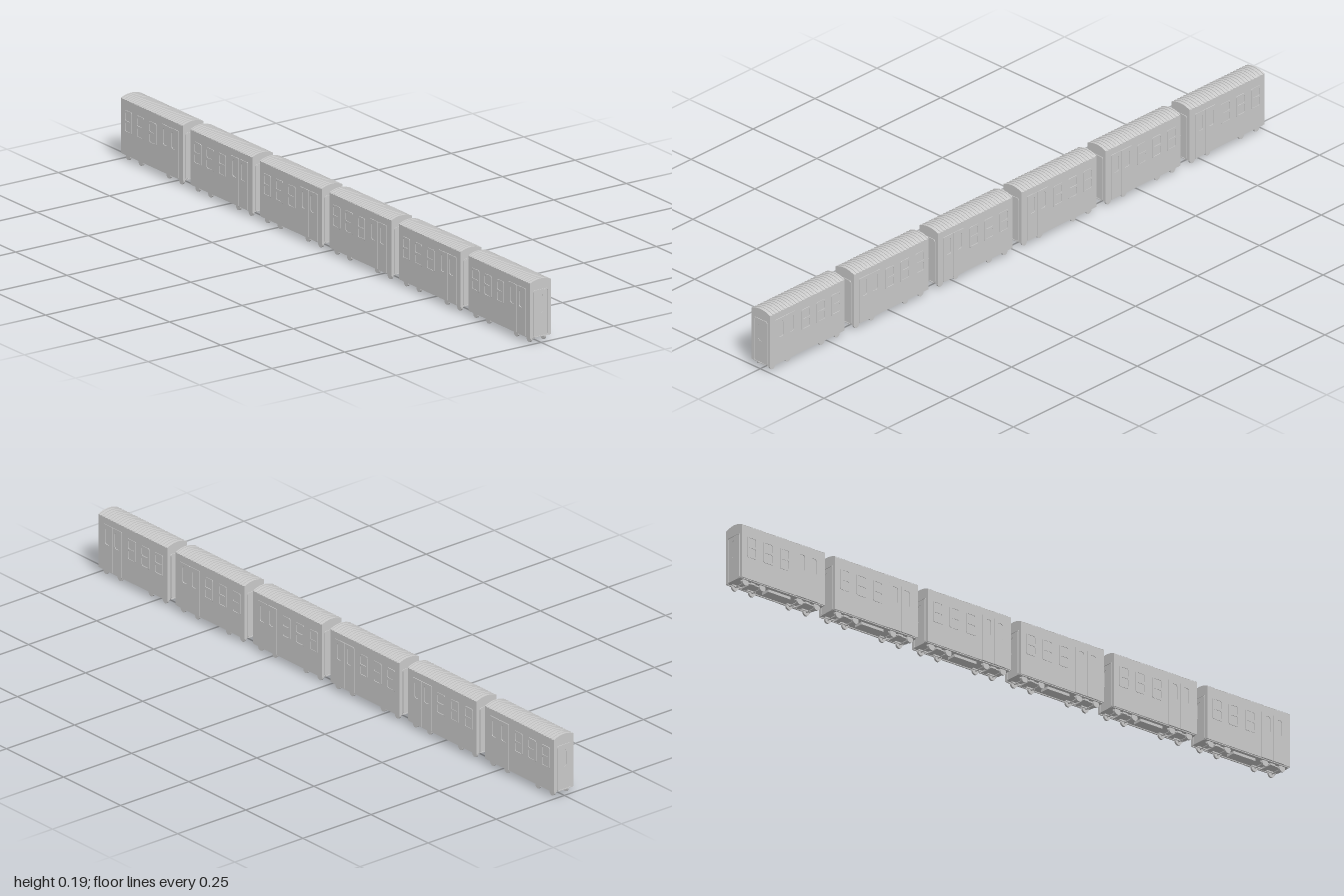
import * as THREE from 'three';

const CARS = 6, LEN = 0.306, PITCH = 0.3388, HALF = 0.036;
const material = new THREE.MeshStandardMaterial({ color: 0xcccccc, flatShading: true });

function add(parent, name, geometry, x = 0, y = 0, z = 0, ry = 0) {
  const mesh = new THREE.Mesh(geometry, material);
  mesh.name = name;
  mesh.position.set(x, y, z);
  mesh.rotation.y = ry;
  parent.add(mesh);
  return mesh;
}

// Rounded rectangle centred on (cx, cy)
function rounded(Type, w, h, r, cx = 0, cy = 0) {
  const s = new Type(), x = w / 2 - r, y = h / 2 - r;
  s.absarc(cx + x, cy + y, r, 0, Math.PI / 2);
  s.absarc(cx - x, cy + y, r, Math.PI / 2, Math.PI);
  s.absarc(cx - x, cy - y, r, Math.PI, Math.PI * 1.5);
  s.absarc(cx + x, cy - y, r, Math.PI * 1.5, Math.PI * 2);
  s.closePath();
  return s;
}

// Thin plate with rounded openings, each [w, h, r, cx, cy]
function plate(w, h, r, depth, holes = []) {
  const s = rounded(THREE.Shape, w, h, r);
  holes.forEach(o => s.holes.push(rounded(THREE.Path, ...o)));
  return new THREE.ExtrudeGeometry(s, { depth, bevelEnabled: false, curveSegments: 4 });
}

// Points along the shallow arched roof, from one eave to the other
function roofArc(lift, n = 12) {
  return Array.from({ length: n + 1 }, (_, i) => {
    const t = 1 - 2 * i / n;
    return new THREE.Vector2(t * HALF, 0.18 + 0.0085 * (1 - t * t) + lift);
  });
}

// Cross-section extruded along the length of the car
function along(points, length) {
  return new THREE.ExtrudeGeometry(new THREE.Shape(points), { depth: length, bevelEnabled: false })
    .translate(0, 0, -length / 2).rotateY(Math.PI / 2);
}

const V = (x, y) => new THREE.Vector2(x, y);
const geo = {
  body: along([V(-HALF, 0.018), V(HALF, 0.018), ...roofArc(0)], LEN - 0.004),
  rib: along([...roofArc(-0.002).reverse(), ...roofArc(0.0015)], 0.005),
  window: plate(0.036, 0.066, 0.005, 0.0015,
    [[0.028, 0.026, 0.004, 0, 0.0155], [0.028, 0.026, 0.004, 0, -0.0155]]),
  doorLeaf: plate(0.041, 0.142, 0.002, 0.0018, [[0.02, 0.05, 0.006, 0, 0.036]]),
  endFrame: plate(0.052, 0.14, 0.006, 0.002, [[0.047, 0.135, 0.004, 0, 0]]),
  endDoor: plate(0.044, 0.134, 0.004, 0.001, [[0.016, 0.054, 0.0079, 0, 0.027]]),
  wheel: new THREE.CylinderGeometry(0.0105, 0.0105, 0.006, 16).rotateX(Math.PI / 2),
  axle: new THREE.CylinderGeometry(0.002, 0.002, 0.044, 8).rotateX(Math.PI / 2),
  sideBar: new THREE.BoxGeometry(0.085, 0.004, 0.003),
  bolster: new THREE.BoxGeometry(0.016, 0.006, 0.044),
  sill: new THREE.BoxGeometry(LEN - 0.008, 0.004, 0.004),
  equipment: new THREE.BoxGeometry(0.08, 0.009, 0.029),
};

function createSide(sign) {
  const side = new THREE.Group();
  side.name = sign > 0 ? 'frontSide' : 'backSide';
  const ry = sign > 0 ? 0 : Math.PI, z = sign * HALF;
  for (const x of [-0.115, -0.055, 0.005]) add(side, 'windowFrame', geo.window, x, 0.118, z, ry);
  for (const x of [0.067, 0.109]) add(side, 'doorLeaf', geo.doorLeaf, x, 0.089, z, ry);
  return side;
}

function createBogie() {
  const bogie = new THREE.Group();
  bogie.name = 'bogie';
  for (const x of [-0.031, 0.031]) {
    add(bogie, 'axle', geo.axle, x, 0.0105, 0);
    for (const z of [-0.0235, 0.0235]) add(bogie, 'wheel', geo.wheel, x, 0.0105, z);
  }
  for (const z of [-0.0185, 0.0185]) add(bogie, 'bogieSideBar', geo.sideBar, 0, 0.0145, z);
  add(bogie, 'bolster', geo.bolster, 0, 0.0155, 0);
  return bogie;
}

function createCar() {
  const car = new THREE.Group();
  add(car, 'body', geo.body);
  car.add(createSide(1), createSide(-1));

  // Corrugated roof
  const ribs = 26;
  for (let i = 0; i < ribs; i++) {
    add(car, 'roofRib', geo.rib, (i / (ribs - 1) - 0.5) * (LEN - 0.009));
  }

  // Gangway door at each end
  for (const s of [-1, 1]) {
    const x = s * (LEN / 2 - 0.002), ry = s * Math.PI / 2;
    add(car, 'endDoorFrame', geo.endFrame, x, 0.088, 0, ry);
    add(car, 'endDoor', geo.endDoor, x, 0.088, 0, ry);
  }

  // Running gear and underframe
  for (const x of [-0.099, 0.099]) {
    const bogie = createBogie();
    bogie.position.x = x;
    car.add(bogie);
  }
  for (const z of [-0.031, 0.031]) add(car, 'sill', geo.sill, 0, 0.0175, z);
  add(car, 'underfloorEquipment', geo.equipment, 0, 0.0145, 0.0035);
  return car;
}

export function createModel() {
  const train = new THREE.Group();
  train.name = 'train';
  for (let i = 0; i < CARS; i++) {
    const car = createCar();
    car.name = `car${i + 1}`;
    car.position.x = (i - (CARS - 1) / 2) * PITCH;
    train.add(car);
  }
  return train;
}
